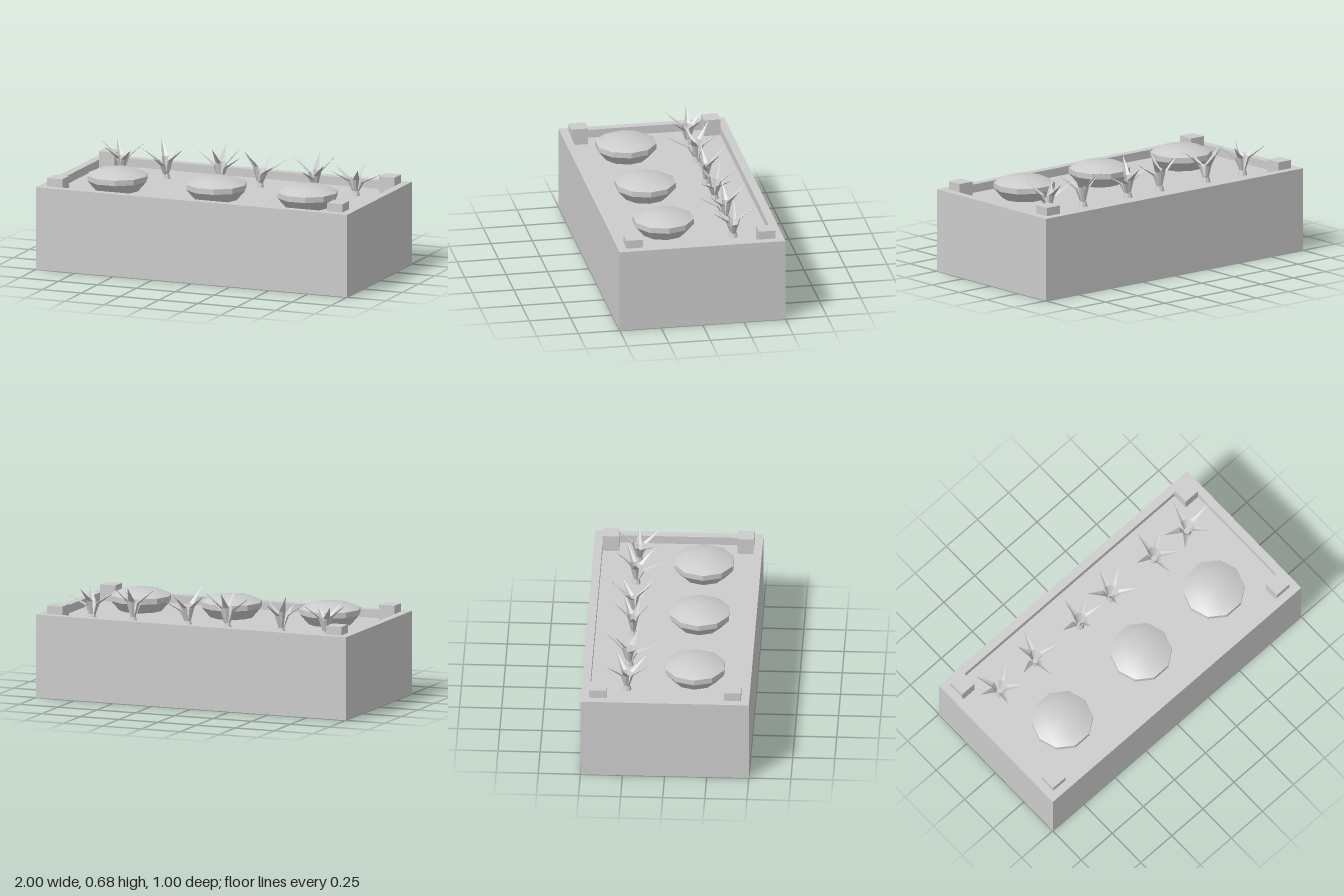
import * as THREE from 'three';
import { toCreasedNormals } from 'three/addons/utils/BufferGeometryUtils.js';

const FLOOR = 0.45, RIM = 0.5;

// Rectangle path used for the rim outline and its opening
function rect(target, hx, hz) {
  target.moveTo(-hx, -hz);
  target.lineTo(hx, -hz);
  target.lineTo(hx, hz);
  target.lineTo(-hx, hz);
  target.closePath();
  return target;
}

// One folded blade reaching from the crown to a tip at (dx, dz)
function leafGeometry(dx, dz) {
  const reach = Math.hypot(dx, dz);
  const out = new THREE.Vector3(dx / reach, 0, dz / reach);
  const side = new THREE.Vector3(-out.z, 0, out.x);
  const tipY = THREE.MathUtils.clamp(0.68 - (reach - 0.12) * 1.5, 0.59, 0.68);
  // distance outwards, height, half width
  const sections = [
    [0.008, FLOOR, 0.008],
    [0.3 * reach, 0.45 * FLOOR + 0.55 * tipY, 0.02],
    [reach, tipY, 0],
  ].map(([r, y, w]) => {
    const rib = out.clone().multiplyScalar(r).setY(y);
    const edge = (s) => rib.clone().addScaledVector(side, s * w)
      .addScaledVector(out, -w * 0.35).add(new THREE.Vector3(0, w * 0.25, 0));
    return [edge(-1), rib, edge(1)];
  });
  const points = [];
  for (let i = 0; i < 2; i++) {
    for (let j = 0; j < 2; j++) {
      const a = sections[i][j], b = sections[i][j + 1];
      const c = sections[i + 1][j], d = sections[i + 1][j + 1];
      points.push(a, b, c);
      if (i === 0) points.push(b, d, c);
    }
  }
  const geometry = new THREE.BufferGeometry().setFromPoints(points);
  geometry.computeVertexNormals();
  return geometry;
}

export function createModel() {
  const model = new THREE.Group();
  model.name = 'planter';
  const stone = new THREE.MeshStandardMaterial({ color: 0xcccccc, side: THREE.DoubleSide });
  stone.name = 'light grey';

  const add = (name, geometry, x = 0, y = 0, z = 0, parent = model) => {
    const mesh = new THREE.Mesh(geometry, stone);
    mesh.name = name;
    mesh.position.set(x, y, z);
    parent.add(mesh);
    return mesh;
  };

  // Trough body, whose top is the sunken floor, with the raised rim around it
  add('body', new THREE.BoxGeometry(2, FLOOR, 1), 0, FLOOR / 2, 0);
  const outline = rect(new THREE.Shape(), 1, 0.5);
  outline.holes.push(rect(new THREE.Path(), 0.95, 0.45));
  const rim = new THREE.ExtrudeGeometry(outline, { depth: RIM - FLOOR, bevelEnabled: false });
  rim.rotateX(-Math.PI / 2);
  add('rim', rim, 0, FLOOR, 0);

  // Corner blocks standing inside the rim
  const block = new THREE.BoxGeometry(0.1, 0.1, 0.1);
  for (const x of [-0.9, 0.9]) {
    for (const z of [-0.4, 0.4]) add('cornerBlock', block, x, 0.5, z);
  }

  // Three low ten-sided domed shrubs along the front
  const profile = [[0.13, 0], [0.183, 0.06], [0.183, 0.093], [0.116, 0.123], [0, 0.13]]
    .map(([r, y]) => new THREE.Vector2(r, y));
  const dome = toCreasedNormals(new THREE.LatheGeometry(profile, 10, Math.PI / 2), 0.52);
  for (const x of [-0.615, 0.02, 0.605]) add('shrub', dome, x, FLOOR, 0.165);

  // Six spiky plants along the back: centre, then leaf tip offsets
  const plants = [
    [-0.755, -0.235, [[-0.08, -0.12], [0.125, -0.07], [0.105, 0.115], [-0.055, 0.135], [-0.14, -0.015]]],
    [-0.47, -0.235, [[0.043, -0.14], [0.13, 0.06], [-0.016, 0.17], [-0.14, 0.053], [-0.065, -0.085]]],
    [-0.118, -0.225, [[-0.01, -0.122], [0.112, -0.064], [0.15, 0.037], [-0.01, 0.107], [-0.144, 0.005]]],
    [0.134, -0.23, [[0.032, -0.139], [0.144, -0.08], [0.134, 0.107], [-0.053, 0.107], [-0.128, -0.059]]],
    [0.487, -0.235, [[-0.016, -0.123], [0.112, -0.059], [0.1, 0.11], [-0.016, 0.171], [-0.139, 0]]],
    [0.749, -0.23, [[0.021, -0.139], [0.176, -0.005], [0.07, 0.134], [-0.118, 0.112], [-0.155, -0.032]]],
  ];
  const crown = toCreasedNormals(new THREE.CylinderGeometry(0.02, 0.028, 0.03, 8), 0.5);
  for (const [x, z, tips] of plants) {
    const plant = new THREE.Group();
    plant.name = 'spikyPlant';
    plant.position.set(x, 0, z);
    add('crown', crown, 0, FLOOR + 0.015, 0, plant);
    for (const [dx, dz] of tips) add('leaf', leafGeometry(dx, dz), 0, 0, 0, plant);
    model.add(plant);
  }
  return model;
}
